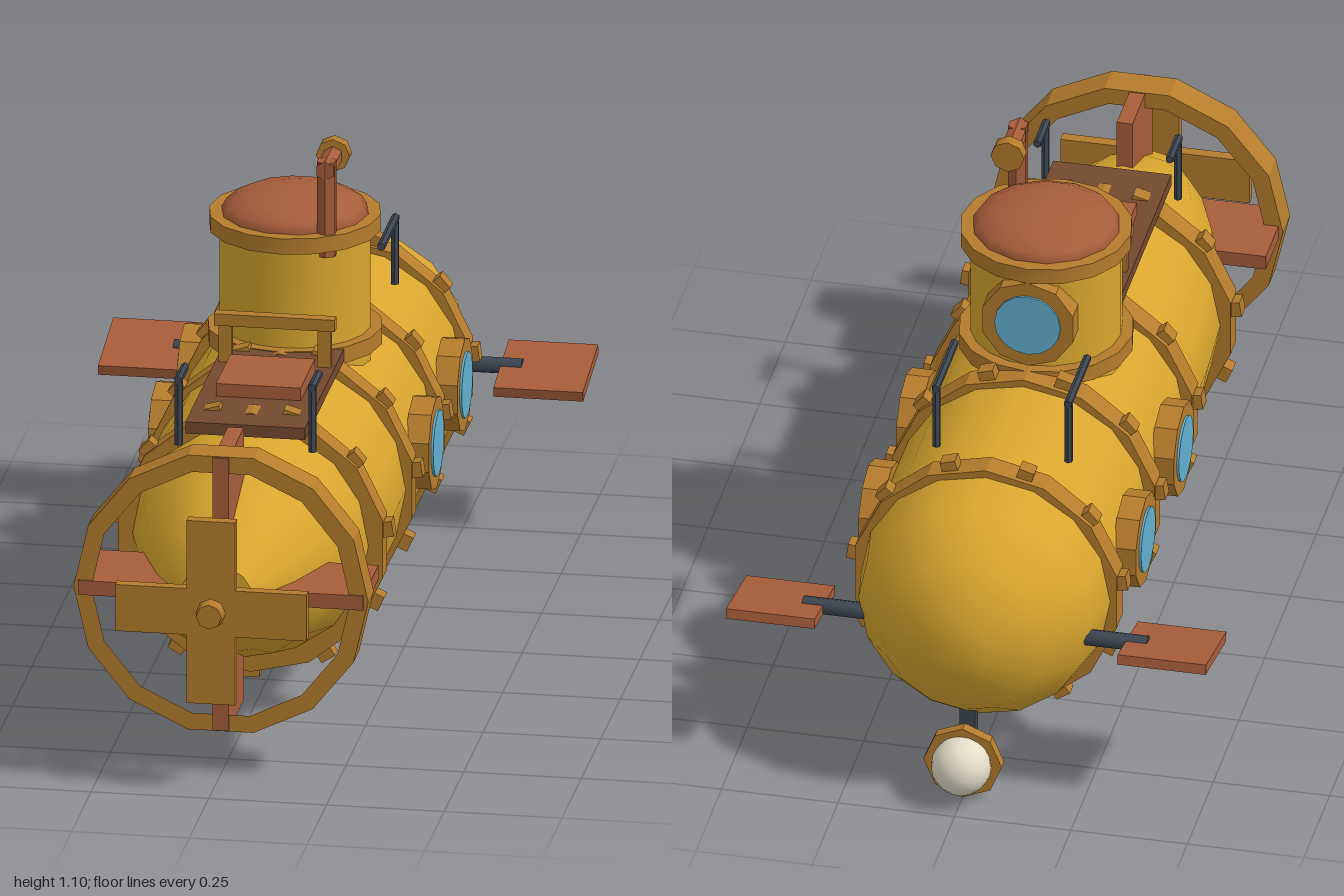
import * as THREE from 'three';
import { toCreasedNormals } from 'three/addons/utils/BufferGeometryUtils.js';

const mat = (name, color) => {
  const m = new THREE.MeshStandardMaterial({ color });
  m.name = name;
  return m;
};

export function createModel() {
  const yellow = mat('hull yellow', 0xd9a62e);
  const brass = mat('brass', 0xb57c2c);
  const copper = mat('copper', 0xa75d3a);
  const wood = mat('dark brown', 0x74492f);
  const glass = mat('window blue', 0x62afcf);
  const steel = mat('dark steel', 0x3d4652);
  const ivory = mat('lamp ivory', 0xe4dec8);

  const model = new THREE.Group();
  model.name = 'submarine';
  const AXIS = 0.388; // height of the hull axis
  const TAIL = 0.41;  // height of the propeller axis

  const add = (name, geo, material, x = 0, y = 0, z = 0, parent = model) => {
    const mesh = new THREE.Mesh(geo, material);
    mesh.name = name;
    mesh.position.set(x, y, z);
    parent.add(mesh);
    return mesh;
  };
  const box = (w, h, d) => new THREE.BoxGeometry(w, h, d);
  const cyl = (r1, r2, h, n) => toCreasedNormals(new THREE.CylinderGeometry(r1, r2, h, n), 0.85);
  const zCyl = (r1, r2, h, n) => cyl(r1, r2, h, n).rotateX(Math.PI / 2);
  // Flat-sided ring facing z, centred on its own depth
  const ring = (n, R, r, depth, turn = 0) => {
    const pts = (rad) => Array.from({ length: n }, (_, i) => {
      const a = turn + (i / n) * Math.PI * 2;
      return new THREE.Vector2(Math.sin(a) * rad, Math.cos(a) * rad);
    });
    const shape = new THREE.Shape(pts(R));
    shape.holes.push(new THREE.Path(pts(r)));
    return new THREE.ExtrudeGeometry(shape, { depth, bevelEnabled: false }).translate(0, 0, -depth / 2);
  };

  // Hull: lathe along z, its axis rising slightly towards both ends
  const profile = [[0, -0.978], [0.067, -0.975], [0.178, -0.915], [0.25, -0.8], [0.268, -0.69], [0.268, 0.25],
    [0.257, 0.44], [0.205, 0.64], [0.15, 0.78], [0.08, 0.9], [0, 0.9]].map(([r, z]) => new THREE.Vector2(r, z));
  const hull = new THREE.LatheGeometry(profile, 16).rotateX(Math.PI / 2);
  const hp = hull.attributes.position;
  for (let i = 0; i < hp.count; i++) {
    const z = hp.getZ(i);
    const rise = z > 0.3 ? (z - 0.3) * 0.037 : z < -0.7 ? (-0.7 - z) * 0.06 : 0;
    hp.setY(i, hp.getY(i) * 1.015 + rise);
  }
  add('hull', toCreasedNormals(hull, 0.7), yellow, 0, AXIS, 0);

  // Riveted bands
  for (const z of [0.437, 0.063, -0.302, -0.668]) {
    const band = new THREE.Group();
    band.name = 'hullBand';
    band.position.set(0, AXIS, z);
    model.add(band);
    add('bandHoop', zCyl(0.288, 0.288, 0.056, 14).toNonIndexed ? ring(14, 0.288, 0.24, 0.056) : null, brass, 0, 0, 0, band);
    for (let i = 0; i < 11; i++) {
      const a = ((i + 0.5) / 11) * Math.PI * 2;
      const stud = add('rivet', box(0.034, 0.03, 0.034), brass, Math.sin(a) * 0.288, Math.cos(a) * 0.288, 0, band);
      stud.rotation.z = -a;
    }
  }

  // Portholes: a brass rim and a glass disc, facing +z before being turned
  const porthole = (x, y, z, turn) => {
    const g = new THREE.Group();
    g.name = 'porthole';
    g.position.set(x, y, z);
    g.rotation.y = turn;
    add('portholeRim', ring(10, 0.102, 0.068, 0.05), brass, 0, 0, 0, g);
    add('portholeGlass', zCyl(0.071, 0.071, 0.06, 16), glass, 0, 0, 0, g);
    model.add(g);
  };
  for (const s of [-1, 1]) {
    for (const z of [-0.121, -0.488]) porthole(s * 0.273, 0.42, z, s * Math.PI / 2);
  }

  // Conning tower
  const TZ = -0.108;
  add('tower', cyl(0.16, 0.16, 0.3, 20), yellow, 0, 0.75, TZ);
  add('towerCollar', cyl(0.185, 0.185, 0.036, 16), brass, 0, 0.657, TZ);
  add('towerRim', cyl(0.182, 0.182, 0.035, 16), brass, 0, 0.908, TZ);
  const dome = new THREE.SphereGeometry(0.158, 14, 4, 0, Math.PI * 2, 0, Math.PI / 2).scale(1, 0.36, 1);
  add('towerDome', dome, copper, 0, 0.922, TZ);
  porthole(0, 0.788, TZ - 0.155, Math.PI);

  // Periscope
  add('periscopePost', cyl(0.022, 0.022, 0.21, 6), copper, 0.088, 0.98, 0.017);
  add('periscopeArm', zCyl(0.021, 0.021, 0.12, 6), copper, 0.088, 1.068, -0.022);
  add('periscopeEye', zCyl(0.036, 0.036, 0.028, 8), brass, 0.088, 1.068, -0.075);

  // Deck, hatch and rail
  add('deck', box(0.254, 0.026, 0.5), wood, 0, 0.66, 0.283);
  add('hatch', box(0.18, 0.03, 0.185), copper, 0, 0.686, 0.272);
  add('railBar', box(0.256, 0.026, 0.026), brass, 0, 0.768, 0.145);
  for (const s of [-1, 1]) add('railPost', box(0.028, 0.1, 0.016), brass, s * 0.105, 0.715, 0.145);

  // Bent grab handles: [post z, far end z]
  for (const s of [-1, 1]) {
    for (const [z0, z1] of [[0.527, 0.455], [-0.533, -0.362]]) {
      add('handlePost', cyl(0.009, 0.009, 0.15, 6), steel, s * 0.142, 0.695, z0);
      add('handleGrip', zCyl(0.009, 0.009, Math.abs(z1 - z0) + 0.018, 6), steel, s * 0.142, 0.765, (z0 + z1) / 2);
    }
  }

  // Bow planes on arms
  for (const s of [-1, 1]) {
    add('planeArm', cyl(0.018, 0.018, 0.19, 8).rotateZ(Math.PI / 2), steel, s * 0.275, 0.357, -0.793);
    const plane = add('bowPlane', box(0.19, 0.022, 0.2), copper, s * 0.42, 0.352, -0.79);
    plane.rotation.x = 0.19;
  }

  // Tail fins and guard ring
  add('verticalFin', box(0.034, 0.606, 0.196), copper, 0, 0.407, 0.75);
  add('horizontalFin', box(0.606, 0.032, 0.196), copper, 0, 0.405, 0.75);
  add('propellerGuard', ring(14, 0.313, 0.275, 0.07, Math.PI / 14), brass, 0, 0.407, 0.809);

  // Propeller
  add('propellerHub', zCyl(0.027, 0.043, 0.105, 8), brass, 0, TAIL, 0.9475);
  add('bladeVertical', box(0.103, 0.406, 0.025), brass, 0, TAIL, 0.96);
  add('bladeHorizontal', box(0.406, 0.103, 0.0245), brass, 0, TAIL, 0.96);

  // Search lamp under the nose
  add('lampBracket', box(0.034, 0.13, 0.028), steel, 0, 0.145, -0.862);
  add('lampBulb', new THREE.SphereGeometry(0.064, 14, 10), ivory, 0, 0.093, -0.934);
  add('lampRing', ring(8, 0.084, 0.055, 0.024), brass, 0, 0.091, -0.909);

  return model;
}
